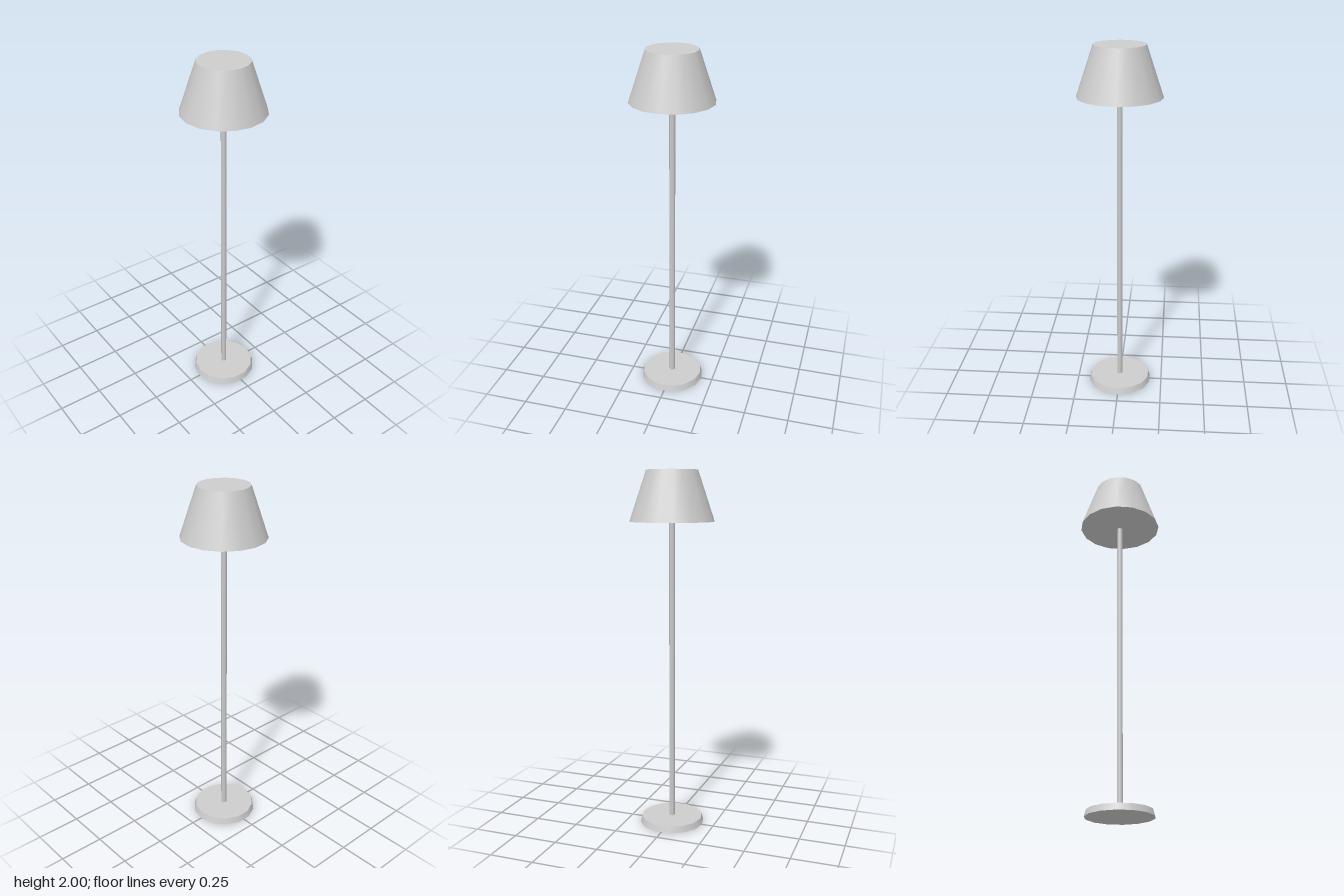
import * as THREE from 'three';

export function createModel() {
  const lamp = new THREE.Group();
  lamp.name = 'floorLamp';

  const grey = new THREE.MeshStandardMaterial({ color: 0xcccccc });
  grey.name = 'light grey';

  // Capped, tapered round part standing between two heights
  function addRound(name, topRadius, bottomRadius, bottomY, topY, sides) {
    const geometry = new THREE.CylinderGeometry(topRadius, bottomRadius, topY - bottomY, sides);
    const mesh = new THREE.Mesh(geometry, grey);
    mesh.name = name;
    mesh.position.y = (bottomY + topY) / 2;
    lamp.add(mesh);
  }

  addRound('base', 0.174, 0.184, 0, 0.036, 14);
  addRound('pole', 0.017, 0.017, 0.036, 1.72, 6);
  addRound('shade', 0.14, 0.232, 1.726, 2, 16);

  return lamp;
}
